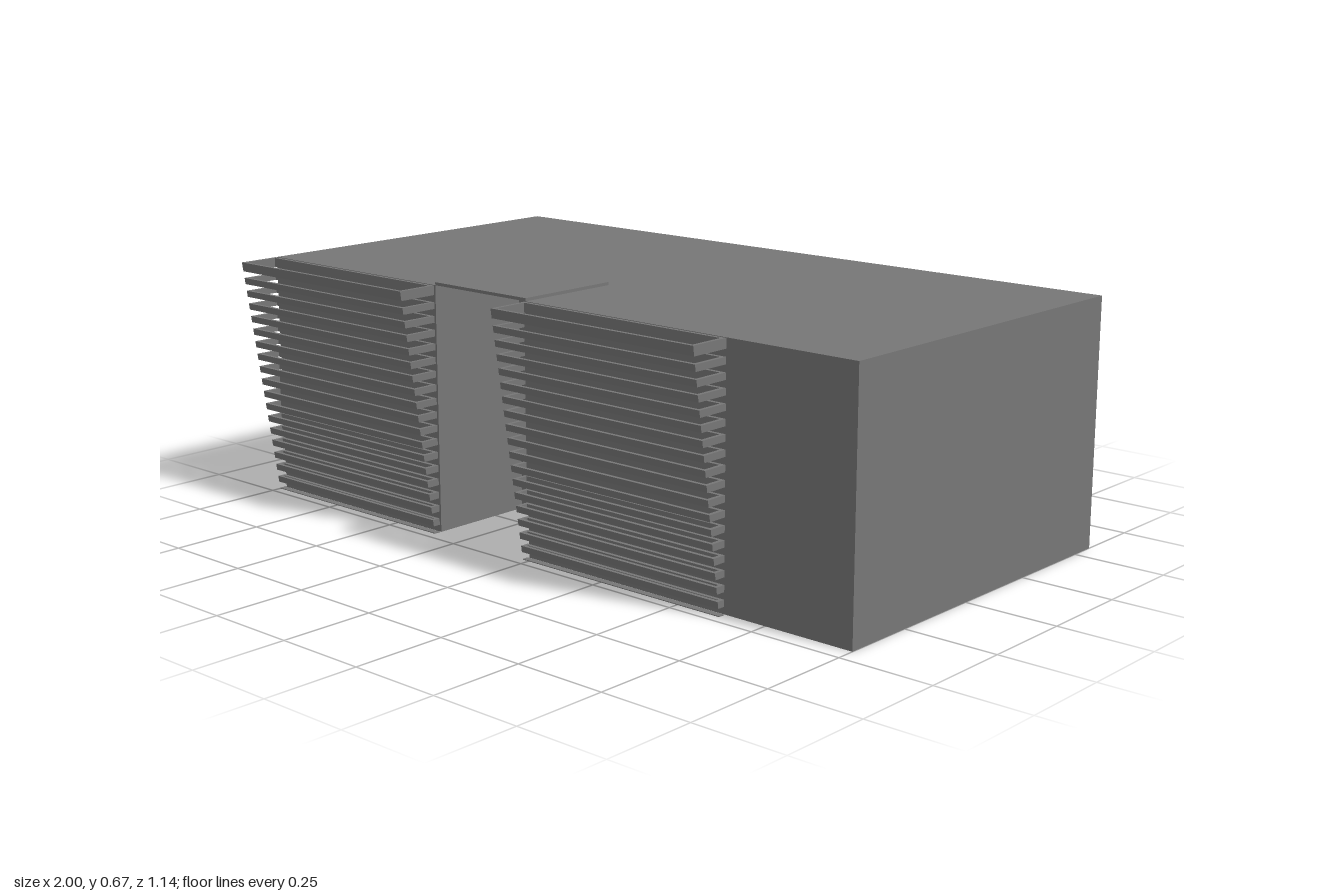
import * as THREE from 'three';

const material = new THREE.MeshStandardMaterial({ color: 0x767676, flatShading: true });
const H = 0.663; // wall height
const NOTCH = { x0: -0.35, x1: -0.02, z: 0.15 }; // entrance recess
const FRONT = 0.45, BACK = -0.57;

const polygon = (pts) => new THREE.Shape(pts.map(([a, b]) => new THREE.Vector2(a, b)));

function addMesh(parent, name, geometry) {
  const mesh = new THREE.Mesh(geometry, material);
  mesh.name = name;
  parent.add(mesh);
}

// Prism with a (z, y) cross-section running from x0 to x1
function prismX(pts, x0, x1) {
  return new THREE.ExtrudeGeometry(polygon(pts), { depth: x1 - x0, bevelEnabled: false })
    .rotateY(-Math.PI / 2)
    .translate(x1, 0, 0);
}

// One hollow rectangular frame with a leaning front
function slatFrame(x0, x1, y0, y1) {
  const t = 0.01, zBack = 0.455;
  const lean = (y) => 0.473 + (0.097 * y) / H;
  const section = (za, zb) => [[za(y0), y0], [zb(y0), y0], [zb(y1), y1], [za(y1), y1]];
  const back = () => zBack;
  const backInner = () => zBack + t;
  const frontInner = (y) => lean(y) - t;
  const frame = new THREE.Group();
  frame.name = 'slatFrame';
  if (frontInner(y0) <= backInner()) {
    addMesh(frame, 'solidSlat', prismX(section(back, lean), x0, x1));
    return frame;
  }
  addMesh(frame, 'frontBar', prismX(section(frontInner, lean), x0, x1));
  addMesh(frame, 'backBar', prismX(section(back, backInner), x0, x1));
  addMesh(frame, 'rightBar', prismX(section(backInner, frontInner), x0, x0 + t));
  addMesh(frame, 'leftBar', prismX(section(backInner, frontInner), x1 - t, x1));
  return frame;
}

// Stack of frames that grow deeper towards the top
function louverScreen(name, x0, x1) {
  const screen = new THREE.Group();
  screen.name = name;
  const pitch = 0.0363, height = 0.0175, count = 19;
  for (let i = 0; i < count; i++) {
    const top = 0.002 + pitch * i;
    screen.add(slatFrame(x0, x1, Math.max(0, top - height), i === count - 1 ? H : top));
  }
  return screen;
}

export function createModel() {
  const model = new THREE.Group();
  model.name = 'building';

  // Main block: plan outline with the entrance recess, raised to full height
  const plan = polygon([
    [-1, -FRONT], [NOTCH.x0, -FRONT], [NOTCH.x0, -NOTCH.z], [NOTCH.x1, -NOTCH.z],
    [NOTCH.x1, -FRONT], [1, -FRONT], [1, -BACK], [-1, -BACK],
  ]);
  addMesh(model, 'mainBlock',
    new THREE.ExtrudeGeometry(plan, { depth: H, bevelEnabled: false }).rotateX(-Math.PI / 2));

  // Thin slab roofing the recess
  const slab = new THREE.BoxGeometry(NOTCH.x1 - NOTCH.x0, 0.008, FRONT - NOTCH.z);
  slab.translate((NOTCH.x0 + NOTCH.x1) / 2, H + 0.004, (FRONT + NOTCH.z) / 2);
  addMesh(model, 'entranceRoof', slab);

  // Louver screens on either side of the entrance
  model.add(louverScreen('rightLouvers', -1, -0.35));
  model.add(louverScreen('leftLouvers', -0.02, 0.631));
  return model;
}
